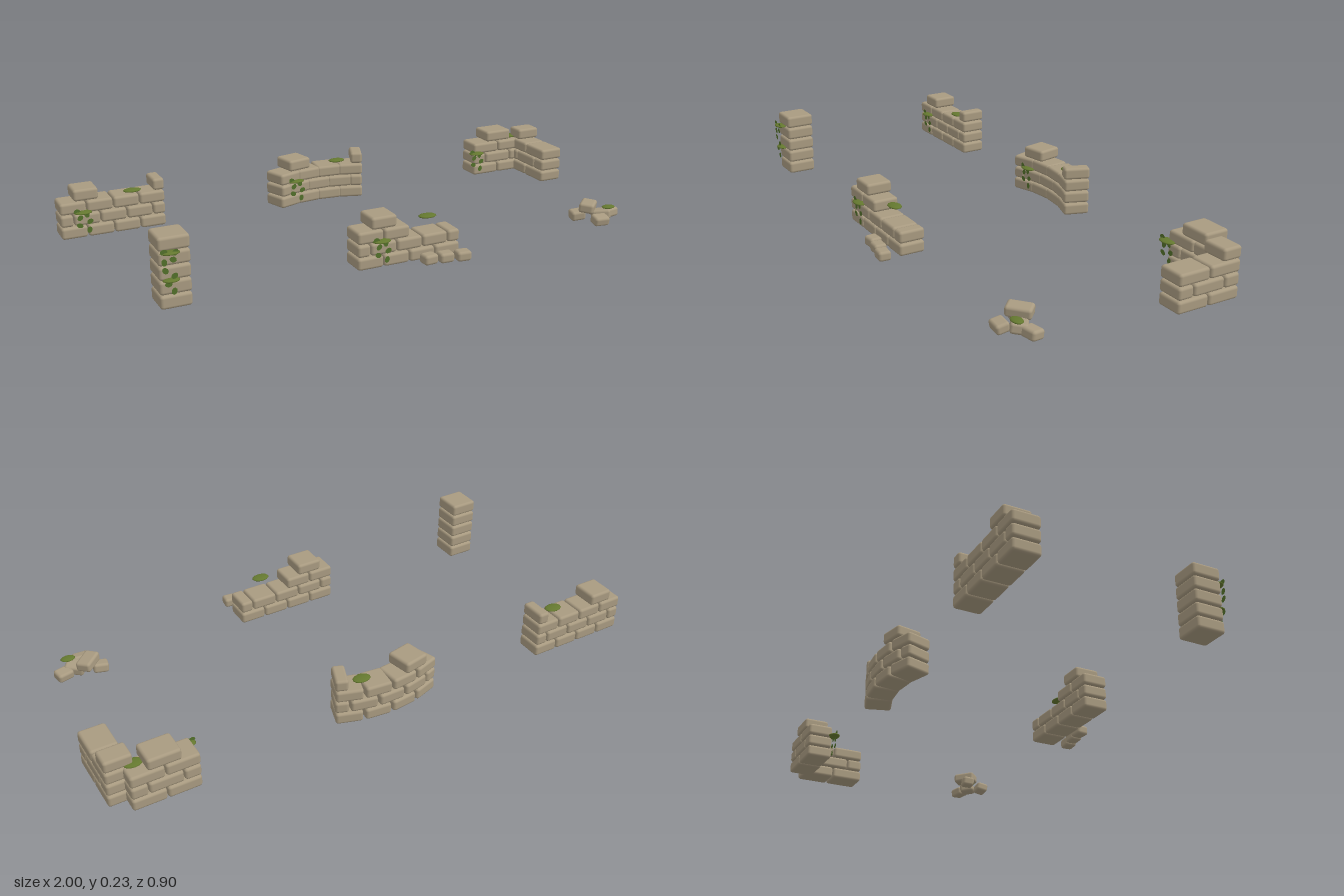
import * as THREE from 'three';
import { RoundedBoxGeometry } from 'three/addons/geometries/RoundedBoxGeometry.js';

const stone = new THREE.MeshStandardMaterial({ name: 'stone', color: 0xa89a80 });
const moss = new THREE.MeshStandardMaterial({ name: 'moss', color: 0x64782f });
const leaf = new THREE.MeshStandardMaterial({ name: 'leaf', color: 0x52702a, side: THREE.DoubleSide });

const PITCH = 0.0455;  // height of one course
const DEPTH = 0.095;   // wall thickness
const GAP = 0.003;

function block(parent, w, h, d, x, y, z, rx = 0, ry = 0, rz = 0) {
  const m = new THREE.Mesh(new RoundedBoxGeometry(w, h, d, 2, 0.01), stone);
  m.name = 'stoneBlock';
  m.position.set(x, y, z);
  m.rotation.set(rx, ry, rz);
  parent.add(m);
}

function mossPatch(parent, x, y, z, s = 1) {
  const m = new THREE.Mesh(new THREE.SphereGeometry(1, 12, 8), moss);
  m.name = 'mossPatch';
  m.scale.set(0.033 * s, 0.006, 0.023 * s);
  m.position.set(x, y, z);
  parent.add(m);
}

// Flat leaves hanging on a front face; spots are [dx, y]
function vine(parent, x, z, spots) {
  const g = new THREE.Group();
  g.name = 'hangingVine';
  spots.forEach(([dx, y], i) => {
    const m = new THREE.Mesh(new THREE.CircleGeometry(0.011, 8), leaf);
    m.name = 'vineLeaf';
    m.scale.set(1.1, 0.85, 1);
    m.position.set(x + dx, y, z);
    m.rotation.z = i * 0.9;
    g.add(m);
  });
  parent.add(g);
}
const WALL_VINE = [[-0.022, 0.105], [-0.012, 0.08], [0.012, 0.09], [-0.015, 0.052], [0.022, 0.063], [0.018, 0.032]];

// Running bond: place(start, end, course) receives each block's span
function runningBond(length, count, courses, place) {
  const unit = length / count;
  for (let c = 0; c < courses; c++) {
    const cuts = [0];
    for (let i = c % 2 ? 0.5 : 1; i < count; i++) cuts.push(i * unit);
    cuts.push(length);
    for (let i = 0; i + 1 < cuts.length; i++) place(cuts[i], cuts[i + 1], c);
  }
}

// Straight masonry along x starting at x0
const spanBlock = (g, x0, z) => (a, b, c) =>
  block(g, b - a - GAP, PITCH - GAP, DEPTH, x0 + (a + b) / 2, (c + 0.5) * PITCH, z);

function straightWall() {
  const g = new THREE.Group();
  g.name = 'straightWall';
  const put = spanBlock(g, -1, -0.402);
  runningBond(0.383, 4, 3, put);
  put(0.05, 0.142, 3);
  put(0.338, 0.383, 3);
  mossPatch(g, -0.73, 0.142, -0.388);
  mossPatch(g, -0.92, 0.098, -0.35);
  vine(g, -0.92, -0.344, WALL_VINE);
  return g;
}

function curvedWall() {
  const g = new THREE.Group();
  g.name = 'curvedWall';
  const R = 0.4525, cz = 0.05, length = 0.38;
  const put = (a, b, c) => {
    const t = ((a + b) / 2 - length / 2) / R;
    block(g, b - a, PITCH - GAP, DEPTH, R * Math.sin(t), (c + 0.5) * PITCH, cz - R * Math.cos(t), 0, -t);
  };
  runningBond(length, 4, 3, put);
  put(0.05, 0.145, 3);
  put(0.335, 0.38, 3);
  mossPatch(g, 0.09, 0.143, -0.39);
  mossPatch(g, -0.105, 0.098, -0.343);
  vine(g, -0.105, -0.332, WALL_VINE);
  return g;
}

function cornerWall() {
  const g = new THREE.Group();
  g.name = 'cornerWall';
  const put = spanBlock(g, 0.705, -0.402);
  runningBond(0.237, 2, 3, put);
  put(0.06, 0.177, 3);
  // side leg runs along z
  const leg = (a, b, c) =>
    block(g, DEPTH, PITCH - GAP, b - a - GAP, 0.952, (c + 0.5) * PITCH, -0.154 - (a + b) / 2);
  runningBond(0.243, 2, 3, leg);
  leg(0.168, 0.243, 3);
  mossPatch(g, 0.905, 0.142, -0.39);
  mossPatch(g, 0.712, 0.098, -0.347);
  vine(g, 0.712, -0.344, WALL_VINE);
  return g;
}

function pillar() {
  const g = new THREE.Group();
  g.name = 'pillar';
  for (let i = 0; i < 5; i++) block(g, 0.103, 0.045, 0.105, -0.809, 0.0225 + i * 0.0475, 0.319);
  mossPatch(g, -0.825, 0.188, 0.378, 0.95);
  mossPatch(g, -0.825, 0.098, 0.376, 0.85);
  vine(g, -0.825, 0.388, [[-0.022, 0.195], [0.014, 0.19], [-0.022, 0.162], [0.006, 0.168],
    [0.008, 0.115], [0.005, 0.065], [-0.02, 0.135], [-0.012, 0.09]]);
  return g;
}

function brokenWall() {
  const g = new THREE.Group();
  g.name = 'brokenWall';
  const put = spanBlock(g, -0.19, 0.319);
  // third course survives only on one half
  runningBond(0.39, 4, 3, (a, b, c) => { if (c < 2 || b < 0.2) put(a, b, c); });
  put(0.05, 0.147, 3);
  // fallen stones in front
  for (const [x, z, r] of [[0.06, 0.399, 0.08], [0.118, 0.408, -0.06], [0.178, 0.421, -0.1]])
    block(g, 0.052, 0.035, 0.045, x, 0.0175, z, 0, r);
  mossPatch(g, 0.09, 0.143, 0.329);
  mossPatch(g, -0.105, 0.098, 0.37);
  vine(g, -0.105, 0.377, WALL_VINE);
  return g;
}

function rubble() {
  const g = new THREE.Group();
  g.name = 'rubblePile';
  block(g, 0.055, 0.036, 0.046, 0.765, 0.022, 0.273, 0.1, -0.2, 0.1);
  block(g, 0.06, 0.034, 0.048, 0.893, 0.02, 0.296, -0.1, 0.2, 0);
  block(g, 0.06, 0.034, 0.046, 0.808, 0.02, 0.355, 0.2, -0.1, 0);
  block(g, 0.07, 0.036, 0.055, 0.845, 0.024, 0.31, -0.15, -0.6, 0);
  block(g, 0.085, 0.036, 0.055, 0.805, 0.051, 0.283, 0.1, 0.75, -0.1);
  mossPatch(g, 0.862, 0.054, 0.33, 0.8);
  return g;
}

export function createModel() {
  const model = new THREE.Group();
  model.name = 'stoneRuins';
  model.add(straightWall(), curvedWall(), cornerWall(), pillar(), brokenWall(), rubble());
  return model;
}
